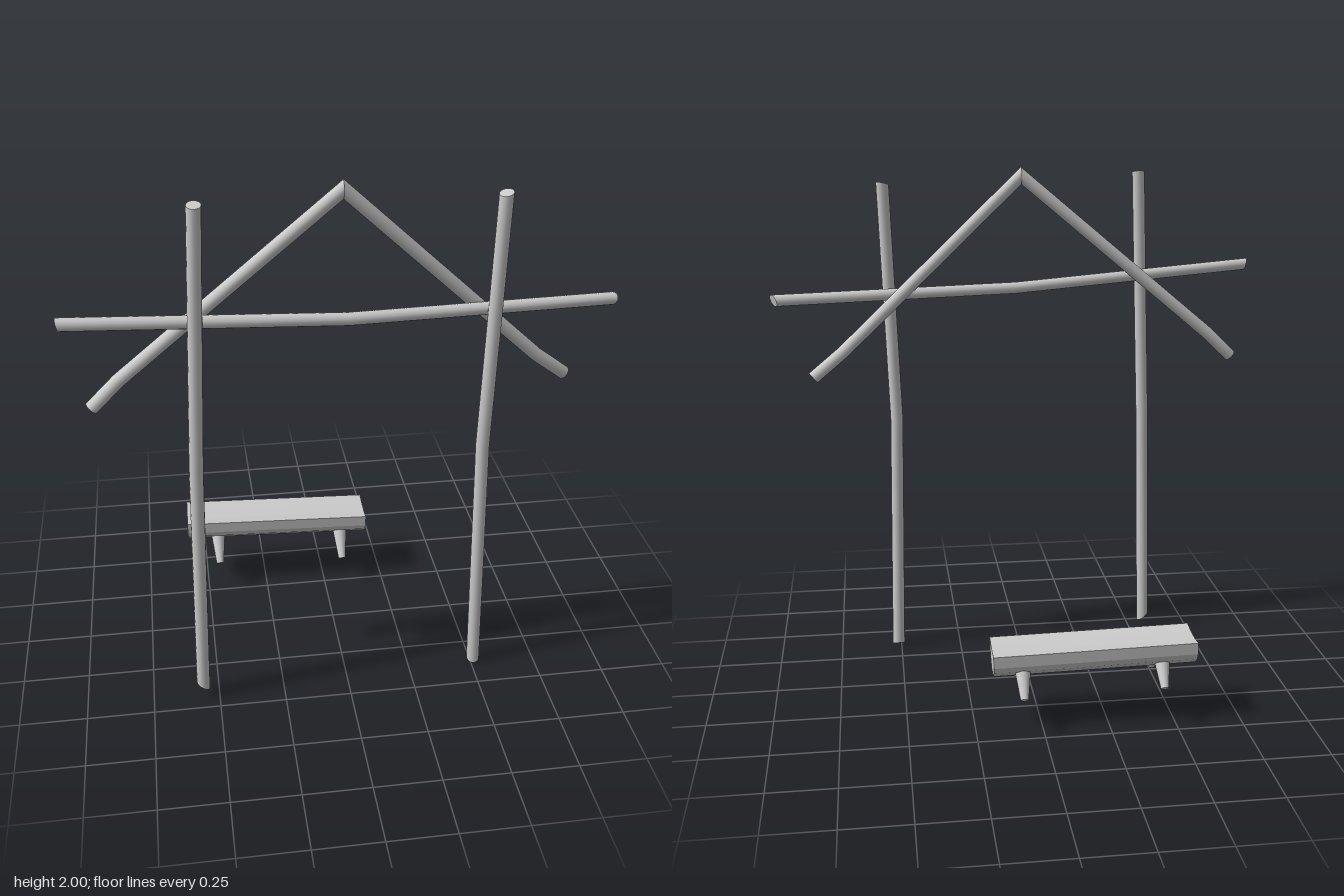
import * as THREE from 'three';

const SIDES = 16;
const V = (a) => new THREE.Vector3(...a);
const material = new THREE.MeshStandardMaterial({ color: 0xcccccc });

// Round log through a few points; each end can be sawn along a plane with the given normal.
function logGeometry(points, radii, startCut, endCut) {
  const pts = points.map(V), last = pts.length - 1;
  const position = [], index = [];
  pts.forEach((p, i) => {
    const before = p.clone().sub(pts[Math.max(i - 1, 0)]).normalize();
    const after = pts[Math.min(i + 1, last)].clone().sub(p).normalize();
    const t = before.add(after).normalize();
    const u = V([0, 0, 1]).cross(t).normalize(), v = t.clone().cross(u);
    const cut = i === 0 ? startCut : i === last ? endCut : null;
    const n = cut ? V(cut) : t;
    for (let j = 0; j < SIDES; j++) {
      const a = (j / SIDES) * Math.PI * 2;
      const off = u.clone().multiplyScalar(Math.cos(a) * radii[i]).addScaledVector(v, Math.sin(a) * radii[i]);
      off.addScaledVector(t, -off.dot(n) / t.dot(n));
      position.push(...off.add(p).toArray());
    }
  });
  for (let i = 0; i < last; i++) {
    for (let j = 0; j < SIDES; j++) {
      const a = i * SIDES + j, b = i * SIDES + (j + 1) % SIDES;
      index.push(a, b, a + SIDES, b, b + SIDES, a + SIDES);
    }
  }
  // sawn end faces with their own vertices, so the rim stays sharp
  for (const ring of [0, last]) {
    const base = position.length / 3;
    position.push(...position.slice(ring * SIDES * 3, (ring + 1) * SIDES * 3));
    position.push(...pts[ring].toArray());
    for (let j = 0; j < SIDES; j++) {
      const a = base + j, b = base + (j + 1) % SIDES, c = base + SIDES;
      index.push(...(ring === 0 ? [c, b, a] : [c, a, b]));
    }
  }
  const g = new THREE.BufferGeometry();
  g.setAttribute('position', new THREE.Float32BufferAttribute(position, 3));
  g.setIndex(index);
  g.computeVertexNormals();
  return g;
}

export function createModel() {
  const group = new THREE.Group();
  const add = (name, geometry, parent = group) => {
    const mesh = new THREE.Mesh(geometry, material);
    mesh.name = name;
    parent.add(mesh);
    return mesh;
  };
  const addLog = (name, points, r, startCut, endCut) =>
    add(name, logGeometry(points, points.map(() => r), startCut, endCut));

  // Upright posts, bottom to top
  addLog('rightPost', [[-0.56, 0.05, 0.425], [-0.542, 1.0, 0.462], [-0.503, 1.97, 0.457]], 0.025,
    [-0.7, -1, 0], [0, 1, 0.25]);
  addLog('leftPost', [[0.512, 0.012, 0.362], [0.492, 1.0, 0.385], [0.522, 1.94, 0.385]], 0.025,
    [0, -1, -0.4], [-0.2, 1, 0.2]);

  // Crossbeam behind and between the posts
  addLog('crossbeam', [[-0.96, 1.592, 0.457], [0, 1.523, 0.388], [0.955, 1.506, 0.3]], 0.023,
    [-1, -0.2, 0], [1, -0.3, -0.6]);

  // Rafters meeting in a vertical mitre at the ridge
  addLog('rightRafter', [[-0.883, 1.23, 0.352], [-0.785, 1.325, 0.344], [-0.016, 1.967, 0.358]], 0.025,
    null, [1, 0, 0]);
  addLog('leftRafter', [[-0.016, 1.967, 0.352], [0.695, 1.3, 0.285], [0.815, 1.205, 0.26]], 0.025,
    [-1, 0, 0], null);

  // Half-log bench with a slightly hollow seat
  const bench = new THREE.Group();
  bench.name = 'bench';
  group.add(bench);
  const half = [[0.035, 0.299], [0.09, 0.306], [0.087, 0.26], [0.075, 0.235], [0.036, 0.204]];
  const outline = [...half, ...half.map(([x, y]) => [-x, y]).reverse()];
  const shape = new THREE.Shape(outline.map(([x, y]) => new THREE.Vector2(x, y - 0.25)));
  const seatGeometry = new THREE.ExtrudeGeometry(shape, { depth: 0.76, bevelEnabled: false });
  seatGeometry.translate(0, 0, -0.38).rotateY(Math.PI / 2);
  const seat = add('benchSeat', seatGeometry, bench);
  seat.position.set(-0.198, 0.261, -0.361);
  seat.rotation.set(0, -0.018, -0.026);

  // Splayed tapered legs
  for (const [side, x, drop, dz] of [['Right', -0.45, 0.006, -0.01], ['Left', 0.073, -0.008, 0.006]]) {
    add('benchFront' + side + 'Leg', logGeometry(
      [[x, 0.235 + drop, -0.31 + dz], [x, 0.138 + drop, -0.232 + dz]], [0.029, 0.015]), bench);
    add('benchBack' + side + 'Leg', logGeometry(
      [[x, 0.235 + drop, -0.41], [x + 0.002, 0.155 + drop, -0.478]], [0.029, 0.015]), bench);
  }
  return group;
}
